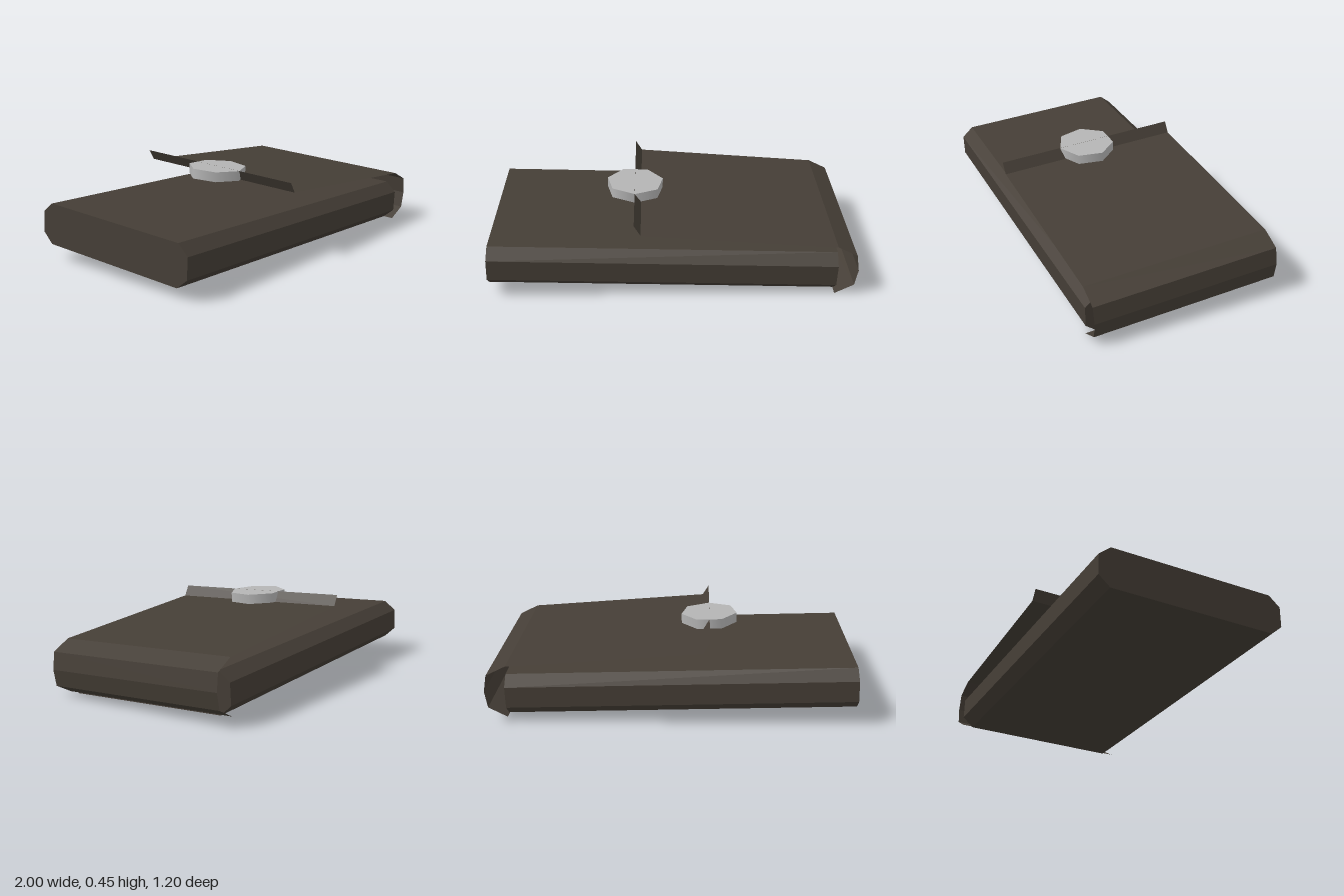
import * as THREE from 'three';

export function createModel() {
  const model = new THREE.Group();
  model.name = 'pouch';

  const leather = new THREE.MeshStandardMaterial({ color: 0x453e36, flatShading: true, side: THREE.DoubleSide });
  leather.name = 'dark leather';
  const metal = new THREE.MeshStandardMaterial({ color: 0xb4b4b4 });
  metal.name = 'grey metal';

  const width = 0.995, length = 1.79;

  // Everything rests slightly turned and tilted
  const pouch = new THREE.Group();
  pouch.name = 'tiltedPouch';
  pouch.position.set(-0.055, 0.153, -0.005);
  pouch.rotation.set(0.034, 0.112, -0.031, 'YXZ');
  model.add(pouch);

  const add = (name, geometry, material) => {
    const mesh = new THREE.Mesh(geometry, material);
    mesh.name = name;
    pouch.add(mesh);
    return mesh;
  };

  // Body: flat octagonal prism running along x
  const w = width / 2, h = 0.107, inset = 0.06, side = 0.055;
  const section = new THREE.Shape([
    [w, -side], [w, side], [w - inset, h], [-w + inset, h],
    [-w, side], [-w, -side], [-w + inset, -h], [w - inset, -h],
  ].map(([x, y]) => new THREE.Vector2(x, y)));
  const body = new THREE.ExtrudeGeometry(section, { depth: length, bevelEnabled: false });
  body.translate(0, 0, -length / 2).rotateY(Math.PI / 2);
  add('body', body, leather);

  // Flap: thin sheet wrapping the right end and lying over the top, with a raised lip
  const profile = [
    [0.89, -0.105], [0.987, -0.051], [1.0, 0.035], [0.983, 0.124],
    [0.881, 0.171], [-0.117, 0.22], [-0.152, 0.2745],
  ];
  const positions = [], indices = [];
  profile.forEach(([x, y], i) => {
    positions.push(x, y, w, x, y, -w);
    if (i > 0) {
      const a = 2 * (i - 1);
      indices.push(a, a + 1, a + 2, a + 1, a + 3, a + 2);
    }
  });
  const sheet = new THREE.BufferGeometry();
  sheet.setAttribute('position', new THREE.Float32BufferAttribute(positions, 3));
  sheet.setIndex(indices);
  const flap = sheet.toNonIndexed();
  flap.computeVertexNormals();
  add('flap', flap, leather);

  // Button: seven-sided disc on the flap's lip
  const button = add('button', new THREE.CylinderGeometry(0.153, 0.153, 0.052, 7), metal);
  button.position.set(-0.15, 0.248, 0.008);

  return model;
}
